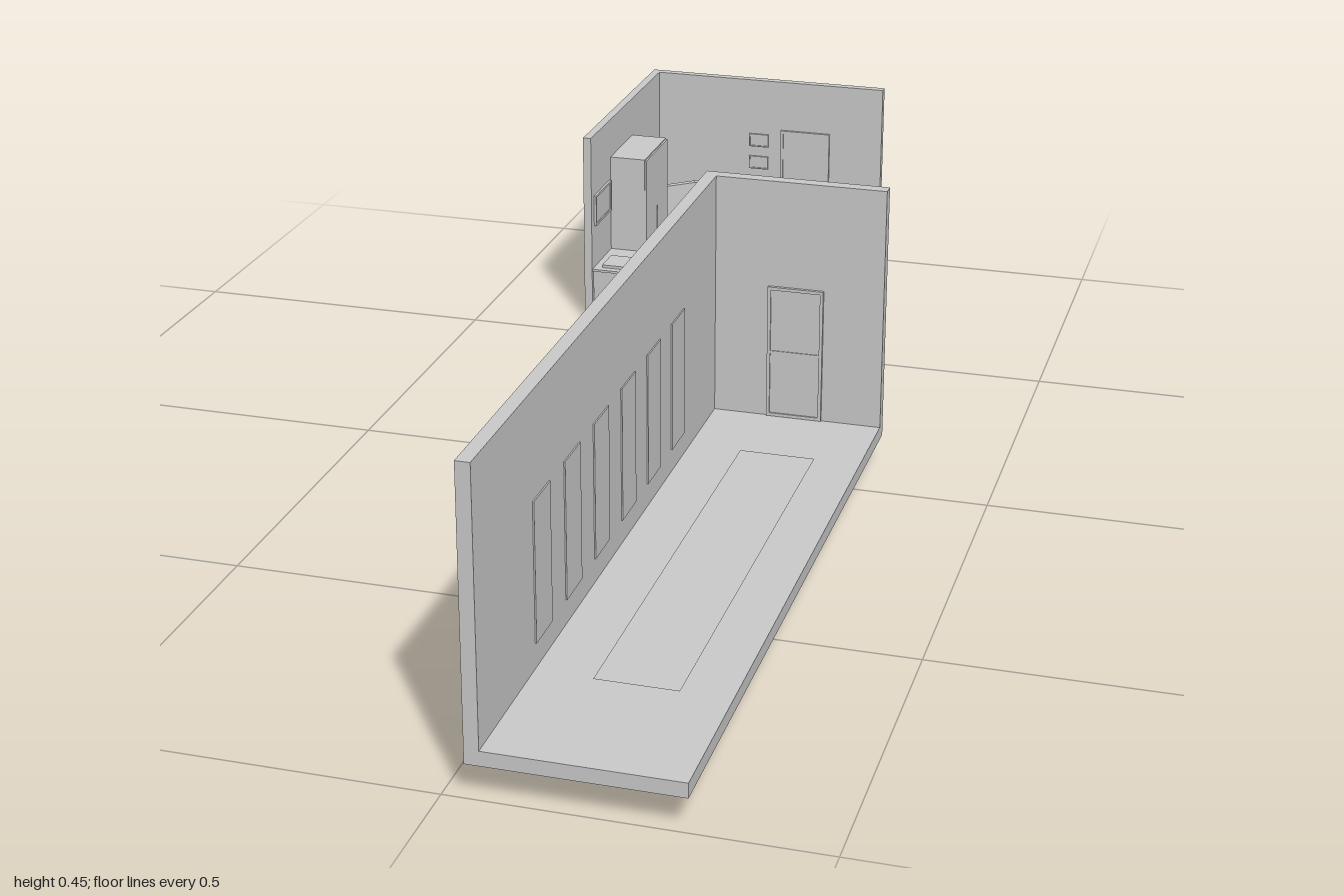
import * as THREE from 'three';

const grey = new THREE.MeshStandardMaterial({ color: 0xcccccc });
const greyDouble = new THREE.MeshStandardMaterial({ color: 0xcccccc, side: THREE.DoubleSide });

function add(parent, name, geometry, material = grey) {
  const mesh = new THREE.Mesh(geometry, material);
  mesh.name = name;
  parent.add(mesh);
  return mesh;
}

// Box given by its extents along each axis
function box(parent, name, [x0, x1], [y0, y1], [z0, z1]) {
  const mesh = add(parent, name, new THREE.BoxGeometry(x1 - x0, y1 - y0, z1 - z0));
  mesh.position.set((x0 + x1) / 2, (y0 + y1) / 2, (z0 + z1) / 2);
  return mesh;
}

function group(parent, name) {
  const g = new THREE.Group();
  g.name = name;
  parent.add(g);
  return g;
}

// Rectangular frame with a panel, lying in the xy plane and facing +z
function framedPanel(parent, name, w, h, rim, depth) {
  const g = group(parent, name);
  const shape = new THREE.Shape([[-w, -h], [w, -h], [w, h], [-w, h]].map(([x, y]) => new THREE.Vector2(x / 2, y / 2)));
  const a = w / 2 - rim, b = h / 2 - rim;
  shape.holes.push(new THREE.Path([[-a, -b], [-a, b], [a, b], [a, -b]].map(([x, y]) => new THREE.Vector2(x, y))));
  add(g, 'frame', new THREE.ExtrudeGeometry(shape, { depth, bevelEnabled: false }));
  box(g, 'panel', [-a, a], [-b, b], [0, depth * 0.5]);
  return g;
}

function door(parent, name, x0, x1, y0, y1, z) {
  const g = framedPanel(parent, name, x1 - x0, y1 - y0, 0.005, 0.005);
  g.position.set((x0 + x1) / 2, (y0 + y1) / 2, z);
  const a = (x1 - x0) / 2 - 0.005;
  box(g, 'middleRail', [-a, a], [-0.002, 0.002], [0, 0.004]);
}

function armchair(parent) {
  const g = group(parent, 'armchair');
  // Side profile: tall back sweeping down to a low arm
  const side = new THREE.Shape();
  side.moveTo(-0.045, 0);
  side.lineTo(0.045, 0);
  side.lineTo(0.045, 0.052);
  side.lineTo(0.015, 0.054);
  side.quadraticCurveTo(-0.022, 0.06, -0.028, 0.108);
  side.lineTo(-0.043, 0.11);
  side.closePath();
  for (const s of [-1, 1]) {
    const arm = add(g, 'arm', new THREE.ExtrudeGeometry(side, { depth: 0.008, bevelEnabled: false, curveSegments: 10 }));
    arm.rotation.y = -Math.PI / 2;
    arm.position.x = s * 0.044 + 0.004;
  }
  box(g, 'backrest', [-0.042, 0.042], [0.012, 0.109], [-0.045, -0.034]);
  box(g, 'seatBase', [-0.042, 0.042], [0.008, 0.016], [-0.036, 0.04]);
  // Cushion with a gently domed top
  const cushion = new THREE.BoxGeometry(0.08, 0.012, 0.076, 8, 1, 8);
  const p = cushion.attributes.position;
  for (let i = 0; i < p.count; i++) {
    if (p.getY(i) > 0) {
      const u = p.getX(i) / 0.04, v = p.getZ(i) / 0.038;
      p.setY(i, 0.004 + 0.005 * (1 - u * u) * (1 - v * v));
    }
  }
  cushion.computeVertexNormals();
  add(g, 'cushion', cushion).position.set(0, 0.022, 0.002);
  g.position.set(-0.232, 0.025, -0.905);
  g.rotation.y = 0.7;
}

function floorLamp(parent) {
  const g = group(parent, 'lamp');
  const stem = [[0, 0], [0.009, 0], [0.009, 0.003], [0.005, 0.006], [0.006, 0.022], [0.008, 0.034],
    [0.009, 0.04], [0.005, 0.044], [0.003, 0.05], [0.003, 0.072], [0, 0.074]];
  add(g, 'stem', new THREE.LatheGeometry(stem.map(([r, y]) => new THREE.Vector2(r, y)), 16));
  add(g, 'shade', new THREE.CylinderGeometry(0.008, 0.015, 0.025, 16, 1, true), greyDouble).position.y = 0.067;
  g.position.set(0.004, 0.025, -0.68);
}

function room(parent) {
  const g = group(parent, 'room');
  box(g, 'floor', [-0.317, 0.121], [0, 0.025], [-1, -0.565]);
  box(g, 'leftWall', [-0.317, -0.303], [0.025, 0.333], [-1, -0.565]);
  box(g, 'backWall', [-0.303, 0.121], [0.025, 0.333], [-1, -0.985]);
  door(g, 'door', -0.068, 0.024, 0.025, 0.241, -0.985);
  for (const y of [0.131, 0.175, 0.218]) {
    framedPanel(g, 'picture', 0.036, 0.024, 0.002, 0.004).position.set(-0.11, y, -0.985);
  }
  const picture = framedPanel(g, 'sidePicture', 0.09, 0.056, 0.004, 0.004);
  picture.position.set(-0.303, 0.196, -0.625);
  picture.rotation.y = Math.PI / 2;

  // Wardrobe with two doors
  const wardrobe = group(g, 'wardrobe');
  box(wardrobe, 'body', [-0.303, -0.24], [0.025, 0.264], [-0.812, -0.678]);
  for (const z of [-0.811, -0.744]) {
    box(wardrobe, 'wardrobeDoor', [-0.24, -0.237], [0.035, 0.262], [z, z + 0.065]);
  }

  // Low cabinet with a flat item on top
  const cabinet = group(g, 'cabinet');
  box(cabinet, 'body', [-0.302, -0.24], [0.025, 0.088], [-0.676, -0.57]);
  box(cabinet, 'top', [-0.303, -0.237], [0.088, 0.092], [-0.678, -0.567]);
  for (const z of [-0.673, -0.621]) box(cabinet, 'drawer', [-0.24, -0.238], [0.035, 0.084], [z, z + 0.048]);
  box(cabinet, 'tray', [-0.289, -0.243], [0.092, 0.097], [-0.632, -0.58]);

  // Thin strips lying on the floor
  for (let i = 0; i < 3; i++) {
    const strip = box(g, 'floorStrip', [-0.021, 0.021], [0, 0.003], [-0.003, 0.003]);
    strip.position.set(-0.205 + i * 0.007, 0.0265, -0.672 + i * 0.018);
    strip.rotation.y = 0.6;
  }
  armchair(g);
  floorLamp(g);
}

function corridor(parent) {
  const g = group(parent, 'corridor');
  box(g, 'floor', [0.051, 0.315], [0.048, 0.069], [-0.085, 1]);
  box(g, 'leftWall', [0.031, 0.051], [0.048, 0.453], [-0.105, 1]);
  box(g, 'backWall', [0.051, 0.315], [0.048, 0.453], [-0.105, -0.085]);
  door(g, 'door', 0.135, 0.222, 0.07, 0.284, -0.085);
  // Row of shallow wall panels
  for (let i = 0; i < 6; i++) {
    const z = 0.128 + i * 0.125;
    box(g, 'wallPanel', [0.051, 0.053], [0.105, 0.305], [z - 0.0325, z + 0.0325]);
  }
  const runner = add(g, 'runner', new THREE.PlaneGeometry(0.114, 0.73), greyDouble);
  runner.rotation.x = -Math.PI / 2;
  runner.position.set(0.193, 0.08, 0.445);
}

export function createModel() {
  const model = new THREE.Group();
  model.name = 'roomAndCorridor';
  room(model);
  corridor(model);
  return model;
}
